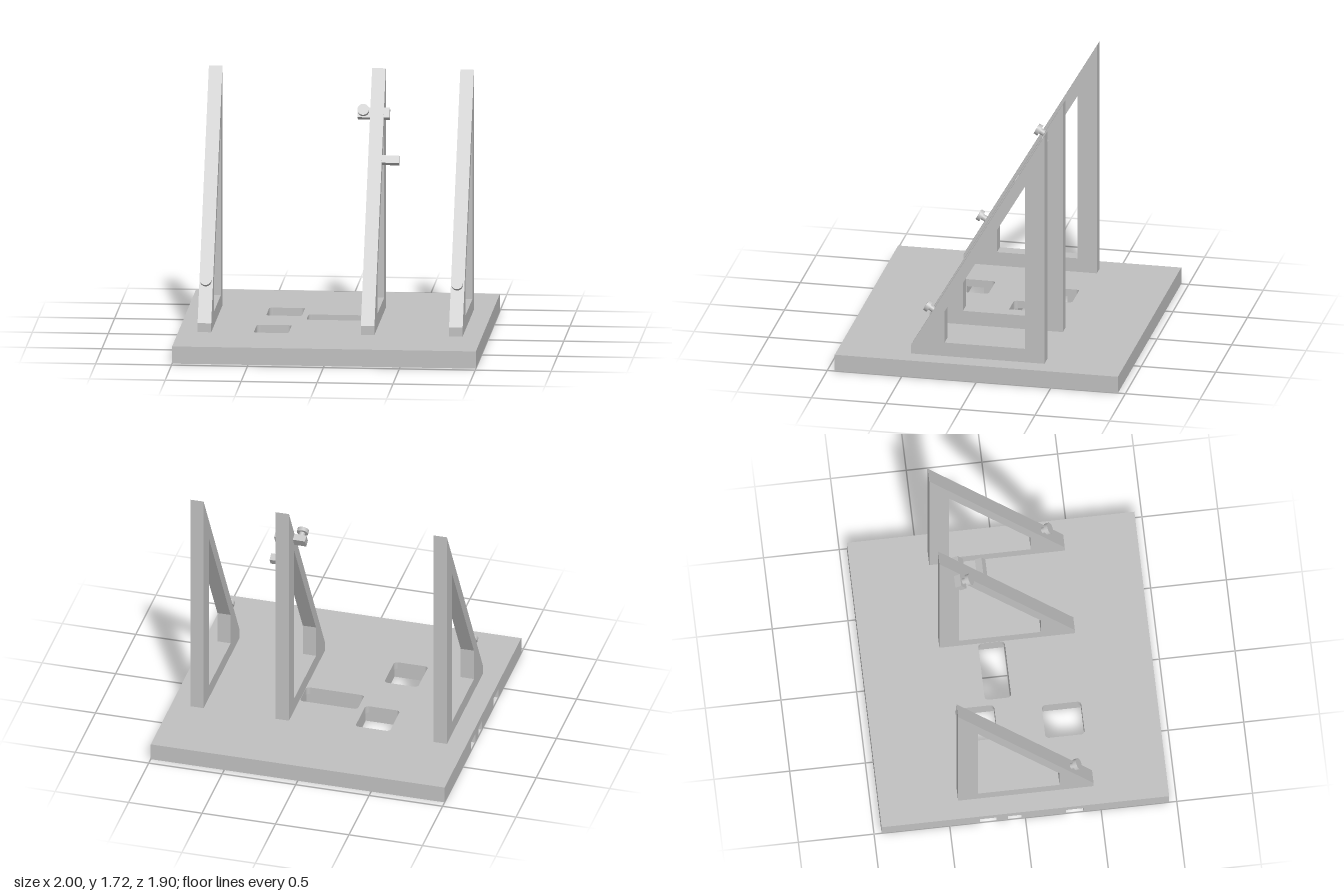
import * as THREE from 'three';

const grey = new THREE.MeshStandardMaterial({ color: 0xbfbfbf });
grey.name = 'plain grey';

// Pockets through the plate, each with a cable channel (centre z, half width) to the -x edge
const pockets = [
  { x0: -0.505, x1: -0.275, z0: 0.19, z1: 0.45, c: 0.325, w: 0.058 },
  { x0: -0.195, x1: 0.2, z0: -0.175, z1: 0, c: -0.07, w: 0.045 },
  { x0: -0.47, x1: -0.235, z0: -0.38, z1: -0.12, c: -0.245, w: 0.055 },
];
const rect = [[-1, -0.95], [1, -0.95], [1, 0.95], [-1, 0.95]];
const toShape = (pts) => new THREE.Shape(pts.map(([a, b]) => new THREE.Vector2(a, b)));

function addMesh(parent, geometry, name) {
  const mesh = new THREE.Mesh(geometry, grey);
  mesh.name = name;
  parent.add(mesh);
  return mesh;
}

function roundedHole({ x0, x1, z0, z1 }, r = 0.025) {
  const p = new THREE.Path();
  p.absarc(x0 + r, z0 + r, r, Math.PI, Math.PI * 1.5);
  p.absarc(x1 - r, z0 + r, r, Math.PI * 1.5, Math.PI * 2);
  p.absarc(x1 - r, z1 - r, r, 0, Math.PI / 2);
  p.absarc(x0 + r, z1 - r, r, Math.PI / 2, Math.PI);
  p.closePath();
  return p;
}

// Horizontal slab of a shape drawn in x and z
function slab(shape, y0, y1) {
  const g = new THREE.ExtrudeGeometry(shape, { depth: y1 - y0, bevelEnabled: false, curveSegments: 8 });
  return g.rotateX(Math.PI / 2).translate(0, y1, 0);
}

// Plate outline cut in by the pockets and their channels
function slottedShape() {
  const pts = [...rect];
  for (const { x0, x1, z0, z1, c, w } of pockets) {
    pts.push([-1, c + w], [x0, c + w], [x0, z1], [x1, z1], [x1, z0], [x0, z0], [x0, c - w], [-1, c - w]);
  }
  return toShape(pts);
}

function buildBase() {
  const base = new THREE.Group();
  base.name = 'base';
  const top = toShape(rect);
  top.holes = pockets.map((p) => roundedHole(p));
  addMesh(base, slab(top, 0.065, 0.115), 'basePlateTop');
  addMesh(base, slab(slottedShape(), 0.02, 0.065), 'basePlateChannels');
  // Underside with four shallow foot recesses
  const under = slottedShape();
  for (const x of [-0.88, 0.88]) for (const z of [-0.845, 0.845]) {
    under.holes.push(new THREE.Path().absarc(x, z, 0.06, 0, Math.PI * 2));
  }
  addMesh(base, slab(under, 0, 0.02), 'basePlateUnderside');
  return base;
}

// Open triangular upright, drawn in z and y
function bracketGeometry() {
  const s = toShape([[0.465, 0.115], [0.465, 0.175], [-0.43, 1.72], [-0.43, 0.115]]);
  s.holes.push(toShape([[0.24, 0.21], [-0.3, 0.21], [-0.3, 1.355], [0.24, 0.43]]));
  const g = new THREE.ExtrudeGeometry(s, { depth: 0.09, bevelEnabled: false });
  return g.rotateY(-Math.PI / 2).translate(0.045, 0, 0);
}

// Group on the sloping front edge: local z points out of the slope
function onSlope(parent, x, y, name) {
  const g = new THREE.Group();
  g.name = name;
  g.position.set(x, y, 0.465 - (y - 0.175) * (0.895 / 1.545));
  g.rotation.x = -Math.atan2(0.895, 1.545);
  parent.add(g);
  return g;
}

function addKnob(parent, x, y) {
  const knob = onSlope(parent, x, y, 'knob');
  const part = (r, z0, z1, name) => addMesh(knob,
    new THREE.CylinderGeometry(r, r, z1 - z0, 32).rotateX(Math.PI / 2).translate(0, 0, (z0 + z1) / 2), name);
  part(0.02, -0.01, 0.032, 'knobStem');
  part(0.038, 0.03, 0.058, 'knobHead');
}

function addBar(parent, x0, x1, y, height, depth, name) {
  const bar = onSlope(parent, (x0 + x1) / 2, y, name);
  addMesh(bar, new THREE.BoxGeometry(x1 - x0, height, depth).translate(0, 0, -depth / 2 - 0.001), name + 'Body');
}

export function createModel() {
  const model = new THREE.Group();
  model.name = 'bracketStand';
  model.add(buildBase());

  const bracket = bracketGeometry();
  for (const [x, name] of [[-0.828, 'rightBracket'], [0.247, 'middleBracket'], [0.828, 'leftBracket']]) {
    addMesh(model, bracket, name).position.x = x;
  }

  // Thumb knobs and cross bars along the sloping edges
  addKnob(model, -0.828, 0.42);
  addKnob(model, 0.828, 0.42);
  addKnob(model, 0.16, 1.455);
  addBar(model, 0.12, 0.33, 1.455, 0.07, 0.045, 'upperCrossBar');
  addBar(model, 0.28, 0.405, 1.177, 0.052, 0.05, 'sidePeg');
  return model;
}
